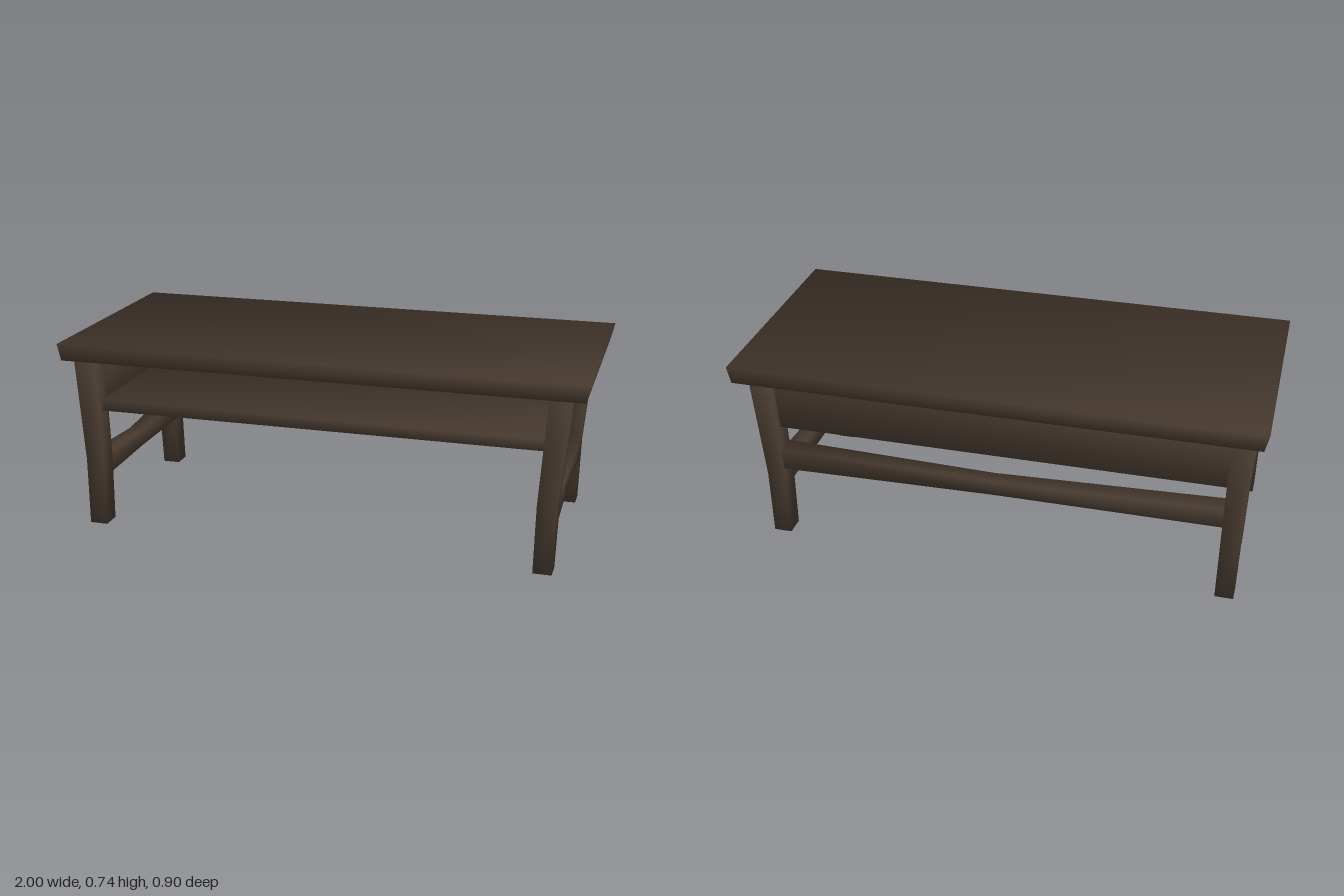
import * as THREE from 'three';

const wood = new THREE.MeshStandardMaterial({ color: 0x46392f });
wood.name = 'dark brown wood';

// Softly shaded four-sided timber lofted along an axis (0 = x, 1 = y, 2 = z).
// Each section: [position, aMin, aMax, bMin, bMax], a and b being the next two axes in x-y-z order.
function timber(name, axis, sections) {
  const points = [];
  for (const [t, a0, a1, b0, b1] of sections) {
    for (const [a, b] of [[a0, b0], [a1, b0], [a1, b1], [a0, b1]]) {
      const p = new THREE.Vector3();
      p.setComponent(axis, t);
      p.setComponent((axis + 1) % 3, a);
      p.setComponent((axis + 2) % 3, b);
      points.push(p);
    }
  }
  const last = points.length - 4;
  const quads = [[0, 3, 2, 1], [last, last + 1, last + 2, last + 3]];
  for (let i = 0; i < last; i += 4) {
    for (let j = 0; j < 4; j++) {
      const k = (j + 1) % 4;
      quads.push([i + j, i + k, i + 4 + k, i + 4 + j]);
    }
  }
  // Every face counts equally in the shared corner normals
  const normals = points.map(() => new THREE.Vector3());
  const index = [];
  for (const [a, b, c, d] of quads) {
    const n = points[c].clone().sub(points[a]).cross(points[d].clone().sub(points[b])).normalize();
    [a, b, c, d].forEach((v) => normals[v].add(n));
    index.push(a, b, c, a, c, d);
  }
  const geometry = new THREE.BufferGeometry().setFromPoints(points);
  const flat = normals.flatMap((n) => n.normalize().toArray());
  geometry.setAttribute('normal', new THREE.Float32BufferAttribute(flat, 3));
  geometry.setIndex(index);
  const mesh = new THREE.Mesh(geometry, wood);
  mesh.name = name;
  return mesh;
}

export function createModel() {
  const table = new THREE.Group();
  table.name = 'coffeeTable';

  // Top with ends that flare slightly upward
  table.add(timber('tableTop', 1, [
    [0.677, -0.45, 0.45, -0.985, 0.985],
    [0.74, -0.45, 0.45, -1, 1],
  ]));

  // Bent legs: height, then z and x ranges
  const zFront = [[0.32, 0.396], [0.308, 0.385], [0.319, 0.403]];
  const zBack = [[-0.414, -0.338], [-0.406, -0.328], [-0.41, -0.314]];
  const xLeft = [[0.823, 0.893], [0.826, 0.9], [0.855, 0.936]];
  const xRight = [[-0.932, -0.862], [-0.938, -0.865], [-0.957, -0.872]];
  const heights = [0, 0.26, 0.68];
  for (const [zName, z] of [['front', zFront], ['back', zBack]]) {
    for (const [xName, x] of [['Left', xLeft], ['Right', xRight]]) {
      table.add(timber(`${zName}${xName}Leg`, 1, heights.map((y, i) => [y, ...z[i], ...x[i]])));
    }
  }

  // Open-fronted compartment: shelf, back and two ends
  table.add(timber('shelf', 0, [
    [-0.885, 0.46, 0.503, -0.36, 0.36],
    [0.86, 0.46, 0.503, -0.36, 0.36],
  ]));
  table.add(timber('backPanel', 0, [
    [-0.89, 0.462, 0.68, -0.375, -0.345],
    [0.865, 0.462, 0.68, -0.375, -0.345],
  ]));
  for (const [name, x0, x1] of [['leftPanel', 0.845, 0.875], ['rightPanel', -0.9, -0.872]]) {
    table.add(timber(name, 2, [
      [-0.36, x0, x1, 0.462, 0.68],
      [0.35, x0, x1, 0.462, 0.68],
    ]));
  }

  // Rough side rails, slimmer in the middle
  for (const [name, x] of [['leftRail', 0.864], ['rightRail', -0.902]]) {
    table.add(timber(name, 2, [
      [-0.343, x - 0.036, x + 0.038, 0.207, 0.289],
      [0, x - 0.03, x + 0.03, 0.199, 0.265],
      [0.32, x - 0.035, x + 0.035, 0.193, 0.28],
    ]));
  }

  // Back rail
  table.add(timber('backRail', 0, [
    [-0.89, 0.308, 0.387, -0.405, -0.33],
    [0, 0.301, 0.36, -0.395, -0.335],
    [0.85, 0.292, 0.378, -0.405, -0.33],
  ]));

  return table;
}
